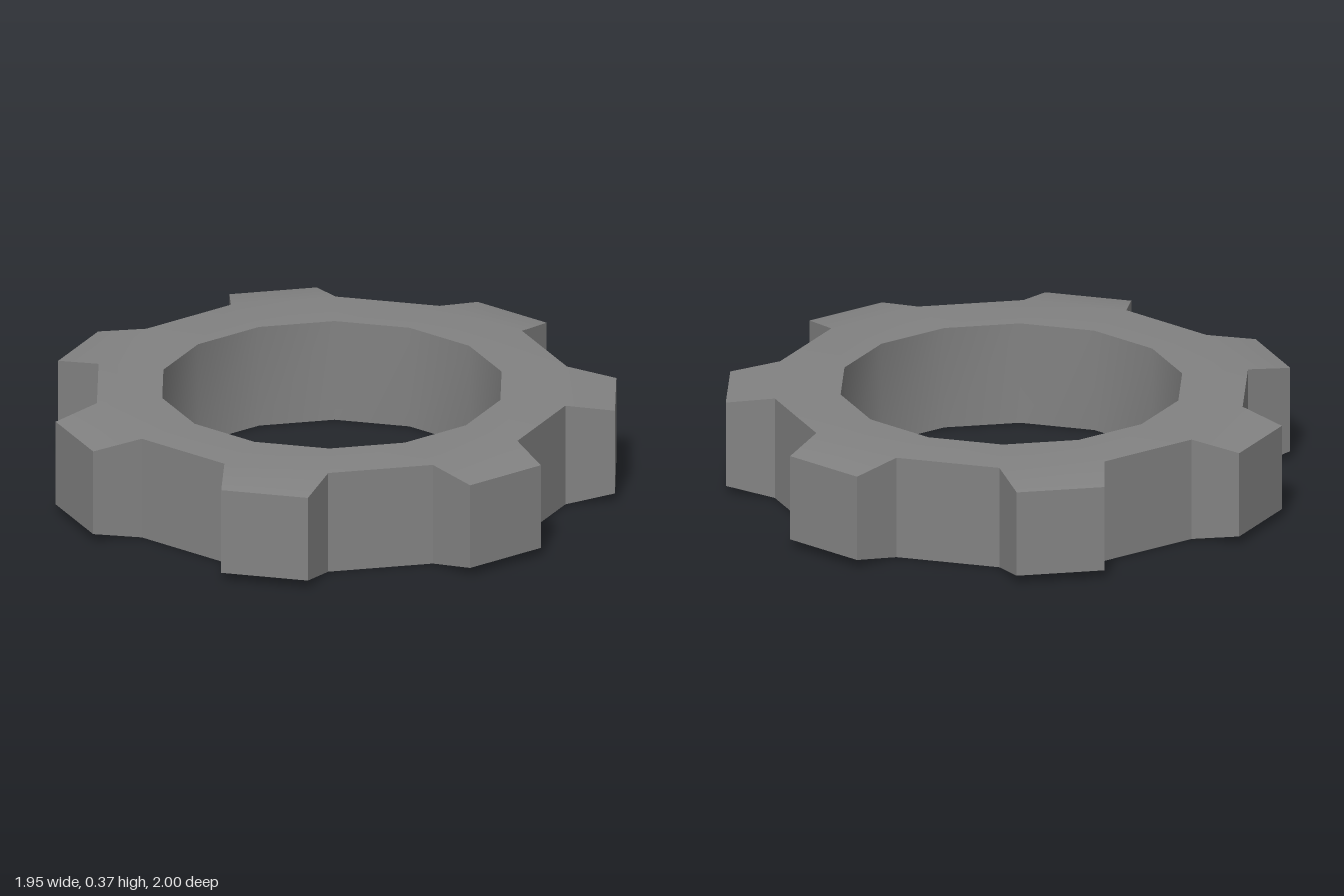
import * as THREE from 'three';
import { toCreasedNormals } from 'three/addons/utils/BufferGeometryUtils.js';

const TEETH = 7, HEIGHT = 0.37, BEVEL = 0.03, CENTRE_X = 0.014;
const R_HOLE = 0.605, R_ROOT = 0.838, R_TIP = 1.002;
const HALF_ROOT = Math.PI / (2 * TEETH), HALF_TIP = 0.156;

const point = (r, angle, y) => [CENTRE_X + r * Math.cos(angle), y, r * Math.sin(angle)];

// Quads are given as four corners, counter-clockwise from outside
function meshFromQuads(name, quads, material) {
  const positions = quads.flatMap(([a, b, c, d]) => [a, b, c, a, c, d].flat());
  const geometry = new THREE.BufferGeometry();
  geometry.setAttribute('position', new THREE.Float32BufferAttribute(positions, 3));
  const mesh = new THREE.Mesh(toCreasedNormals(geometry, Math.PI / 6), material);
  mesh.name = name;
  return mesh;
}

export function createModel() {
  const group = new THREE.Group();
  group.name = 'gear';
  const material = new THREE.MeshStandardMaterial({ color: 0x828282 });
  const quads = [];

  for (let i = 0; i < TEETH; i++) {
    const mid = Math.PI + (i * 2 * Math.PI) / TEETH;

    // Ring: one segment under the tooth, one in the gap after it
    for (const isGap of [false, true]) {
      const a = mid + (isGap ? HALF_ROOT : -HALF_ROOT), b = a + 2 * HALF_ROOT;
      const holeA = point(R_HOLE, a, 0), holeB = point(R_HOLE, b, 0);
      const holeTopA = point(R_HOLE, a, HEIGHT), holeTopB = point(R_HOLE, b, HEIGHT);
      const rootA = point(R_ROOT, a, 0), rootB = point(R_ROOT, b, 0);
      const rootTopA = point(R_ROOT, a, HEIGHT), rootTopB = point(R_ROOT, b, HEIGHT);
      quads.push([holeTopA, holeTopB, rootTopB, rootTopA]); // top
      quads.push([holeA, rootA, rootB, holeB]); // bottom
      quads.push([holeA, holeB, holeTopB, holeTopA]); // hole wall
      if (isGap) {
        quads.push([rootA, rootTopA, rootTopB, rootB]); // wall between teeth
        continue;
      }

      // Tooth: tapers towards the tip in width and height
      const tipA = point(R_TIP, mid - HALF_TIP, BEVEL), tipB = point(R_TIP, mid + HALF_TIP, BEVEL);
      const tipTopA = point(R_TIP, mid - HALF_TIP, HEIGHT - BEVEL);
      const tipTopB = point(R_TIP, mid + HALF_TIP, HEIGHT - BEVEL);
      quads.push([rootTopA, rootTopB, tipTopB, tipTopA]); // upper slope
      quads.push([rootA, tipA, tipB, rootB]); // lower slope
      quads.push([tipA, tipTopA, tipTopB, tipB]); // tip
      quads.push([rootA, rootTopA, tipTopA, tipA]); // flanks
      quads.push([tipB, tipTopB, rootTopB, rootB]);
    }
  }

  group.add(meshFromQuads('toothedRing', quads, material));
  return group;
}
